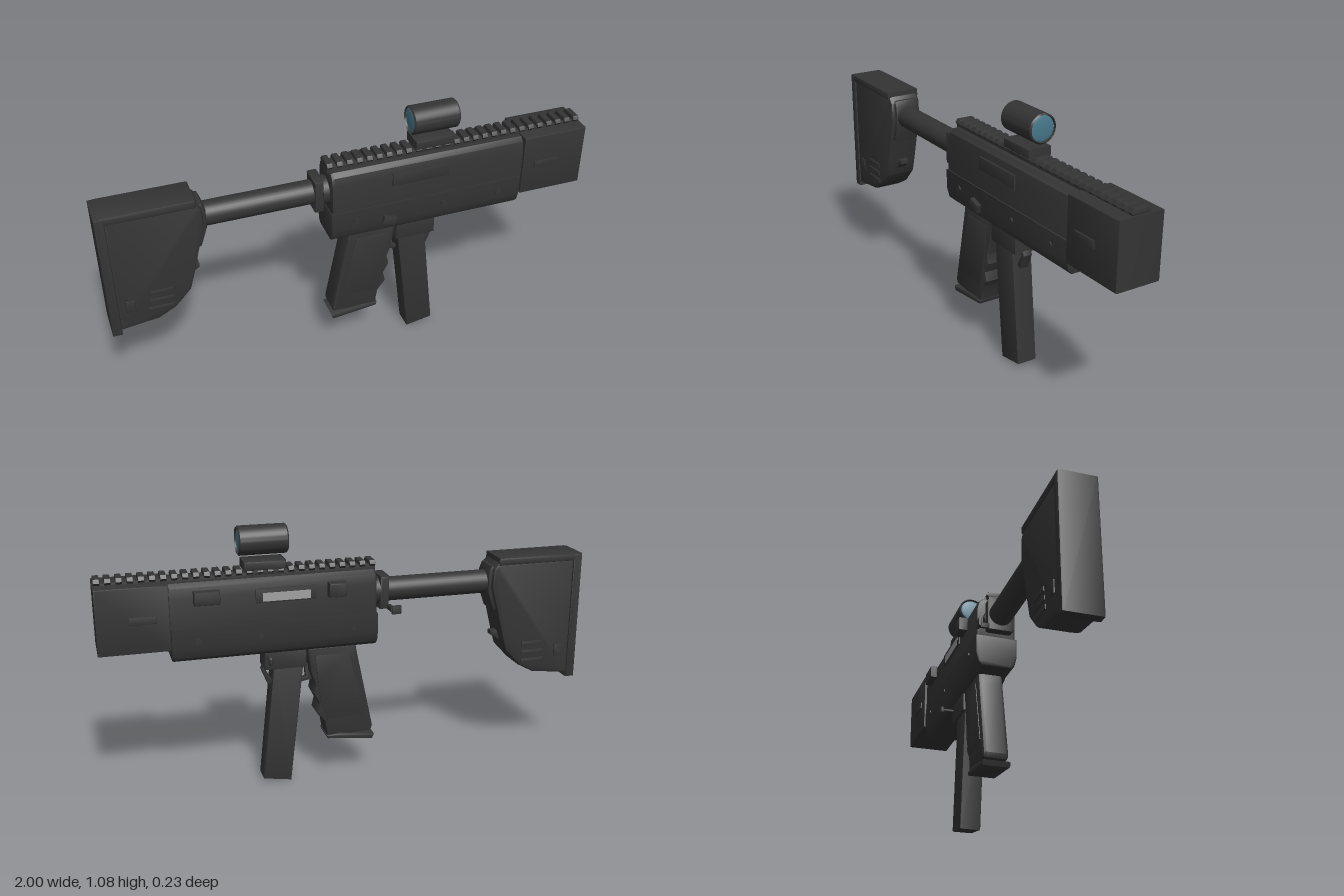
import * as THREE from 'three';
import { toCreasedNormals } from 'three/addons/utils/BufferGeometryUtils.js';

const mat = (name, color) => {
  const m = new THREE.MeshStandardMaterial({ color });
  m.name = name;
  return m;
};

export function createModel() {
  const root = new THREE.Group();
  const body = new THREE.Group();
  body.name = 'body';
  body.position.z = 0.01;
  root.add(body);
  const dark = mat('charcoal', 0x343434);
  const glass = mat('tealGlass', 0x47788a);
  const steel = mat('paleSteel', 0xa0a0a0);

  const add = (name, geo, material = dark) => {
    const m = new THREE.Mesh(geo, material);
    m.name = name;
    body.add(m);
    return m;
  };
  const shapeOf = pts => new THREE.Shape(pts.map(p => new THREE.Vector2(...p)));
  const extrude = (pts, length, b) => toCreasedNormals(new THREE.ExtrudeGeometry(shapeOf(pts), {
    depth: length - 2 * b, bevelEnabled: b > 0, bevelThickness: b, bevelSize: b, bevelOffset: -b, bevelSegments: 2,
  }).translate(0, 0, b - length / 2), 0.6);
  // Side outline in x, y, extruded symmetrically to half width w
  const side = (name, pts, w, b = 0.01) => add(name, extrude(pts, 2 * w, b));
  // Cross-section in z, y, extruded along x
  const along = (name, pts, x0, x1, b = 0.01) =>
    add(name, extrude(pts, x1 - x0, b).rotateY(Math.PI / 2).translate((x0 + x1) / 2, 0, 0));
  // Bevelled box given by its limits
  const block = (name, x0, x1, y0, y1, w, b = 0.006, z = 0) => {
    const m = side(name, [[x0, y0], [x1, y0], [x1, y1], [x0, y1]], w, b);
    m.position.z = z;
    return m;
  };
  const rod = (name, x0, x1, y, r, z = 0, n = 32) =>
    add(name, new THREE.CylinderGeometry(r, r, x1 - x0, n).rotateZ(Math.PI / 2).translate((x0 + x1) / 2, y, z));

  // Receiver halves
  along('upperReceiver', [[-0.083, 0.7], [0.083, 0.7], [0.083, 0.835], [0.074, 0.87], [0.055, 0.886],
    [-0.055, 0.886], [-0.074, 0.87], [-0.083, 0.835]], -0.1, 0.73, 0.012);
  along('lowerReceiver', [[-0.06, 0.577], [0.06, 0.577], [0.077, 0.592], [0.088, 0.635], [0.088, 0.713],
    [-0.088, 0.713], [-0.088, 0.635], [-0.077, 0.592]], -0.105, 0.72, 0.008);
  block('frontBlock', 0.72, 0.995, 0.632, 0.892, 0.094, 0.005);

  // Top rail and its teeth
  block('railBase', -0.105, 0.985, 0.875, 0.9, 0.034, 0.003);
  for (let i = 0; i < 27; i++) {
    const x = -0.105 + i * 0.0412;
    along('railTooth', [[-0.034, 0.893], [0.034, 0.893], [0.042, 0.903], [0.033, 0.917], [-0.033, 0.917], [-0.042, 0.903]],
      x, x + 0.024, 0.002);
  }

  // Sight: mount, housing with raised rims, domed lenses
  block('sightClamp', 0.28, 0.41, 0.89, 0.915, 0.037, 0.004);
  block('sightMount', 0.26, 0.425, 0.911, 0.947, 0.051, 0.006);
  add('sightHousing', toCreasedNormals(new THREE.LatheGeometry([[0.05, -0.09], [0.052, -0.098], [0.058, -0.092],
    [0.058, 0.092], [0.052, 0.098], [0.05, 0.09]].map(p => new THREE.Vector2(...p)), 40)
    .rotateZ(-Math.PI / 2).translate(0.345, 1.022, 0), 0.6));
  for (const s of [-1, 1]) {
    const lens = add('lens', new THREE.SphereGeometry(0.051, 32, 8, 0, Math.PI * 2, 0, Math.PI / 2)
      .scale(1, 0.16, 1).rotateZ(-s * Math.PI / 2), glass);
    lens.position.set(0.345 + s * 0.088, 1.022, 0);
  }

  // Tube and rear collar
  rod('bufferTube', -0.62, -0.09, 0.785, 0.049);
  block('tubeCollar', -0.16, -0.122, 0.715, 0.852, 0.056, 0.01);
  rod('tubeFlange', -0.125, -0.09, 0.785, 0.058);
  block('slingTab', -0.195, -0.157, 0.705, 0.74, 0.006, 0.002, -0.097);
  block('slingArm', -0.165, -0.152, 0.715, 0.735, 0.025, 0.002, -0.075);

  // Shoulder stock
  side('stock', [[-0.97, 0.875], [-0.625, 0.875], [-0.605, 0.85], [-0.6, 0.77], [-0.625, 0.68], [-0.655, 0.56], [-0.675, 0.49],
    [-0.74, 0.42], [-0.81, 0.382], [-0.97, 0.362]], 0.071, 0.015);
  side('stockSocket', [[-0.68, 0.86], [-0.6, 0.86], [-0.588, 0.83], [-0.588, 0.75], [-0.615, 0.67], [-0.68, 0.67]], 0.056, 0.012);
  block('buttPad', -1, -0.962, 0.347, 0.893, 0.076, 0.006);
  block('cheekRest', -0.985, -0.627, 0.862, 0.896, 0.076, 0.01);
  side('stockLatch', [[-0.67, 0.57], [-0.627, 0.568], [-0.627, 0.55], [-0.645, 0.54], [-0.67, 0.52]], 0.02, 0.004);

  // Pistol grip
  side('grip', [[-0.02, 0.585], [-0.03, 0.53], [-0.095, 0.21], [-0.088, 0.19], [0.1, 0.18], [0.112, 0.25], [0.145, 0.295],
    [0.135, 0.335], [0.158, 0.38], [0.15, 0.42], [0.168, 0.47], [0.185, 0.585]], 0.053, 0.014);
  side('gripBase', [[-0.1, 0.176], [-0.092, 0.155], [0.1, 0.177], [0.106, 0.192], [0.05, 0.197]], 0.058, 0.006);

  // Magazine, its well and catch
  block('magazineWell', 0.185, 0.355, 0.502, 0.585, 0.056, 0.006);
  side('magazine', [[0.195, 0.52], [0.316, 0.52], [0.37, 0.024], [0.255, 0.004]], 0.044, 0.005);
  side('magazineCatch', [[0.32, 0.51], [0.355, 0.51], [0.362, 0.49], [0.337, 0.428], [0.315, 0.436], [0.345, 0.488]], 0.02, 0.004);
  add('catchButton', new THREE.CapsuleGeometry(0.01, 0.014, 4, 12)).position.set(0.342, 0.558, -0.105);
  add('catchPin', new THREE.CylinderGeometry(0.007, 0.007, 0.06, 12).rotateX(Math.PI / 2)).position.set(0.342, 0.558, -0.075);
  side('trigger', [[0.168, 0.5], [0.185, 0.5], [0.18, 0.445], [0.205, 0.438], [0.2, 0.424], [0.155, 0.43]], 0.012, 0.003);

  // Details found on both sides
  for (const s of [-1, 1]) {
    block('frontSlot', 0.77, 0.875, 0.748, 0.778, 0.004, 0.002, s * 0.096);
    for (const x of [0, 0.375, 0.62]) {
      const pin = add('receiverPin', new THREE.CylinderGeometry(0.012, 0.012, 0.008, 20).rotateX(Math.PI / 2));
      pin.position.set(x, 0.662, s * 0.089);
    }
    for (let i = 0; i < 3; i++)
      block('stockRib', -0.85 + i * 0.006, -0.745, 0.432 + i * 0.038, 0.45 + i * 0.038, 0.006, 0.003, s * 0.07);
    block('slingSlot', -0.933, -0.897, 0.448, 0.5, 0.006, 0.003, s * 0.07);
    const panel = side('gripPanel', [[0.01, 0.545], [-0.055, 0.275], [0.1, 0.262], [0.128, 0.34], [0.14, 0.44], [0.15, 0.545]], 0.003, 0.002);
    panel.position.z = s * 0.053;
  }

  // Left side plate and selector
  block('sidePlate', 0.15, 0.39, 0.792, 0.845, 0.005, 0.002, 0.084);
  const selector = block('selector', -0.028, 0.028, -0.017, 0.017, 0.013, 0.004);
  selector.position.set(0.135, 0.64, 0.094);
  selector.rotation.z = -0.3;

  // Right side port, bolt and raised blocks
  block('portFrame', 0.15, 0.39, 0.792, 0.848, 0.005, 0.002, -0.084);
  add('bolt', new THREE.BoxGeometry(0.19, 0.034, 0.004), steel).position.set(0.268, 0.815, -0.089);
  block('chargingBlock', 0.035, 0.105, 0.8, 0.857, 0.022, 0.006, -0.1);
  block('forwardBlock', 0.53, 0.63, 0.805, 0.86, 0.018, 0.008, -0.097);
  return root;
}
